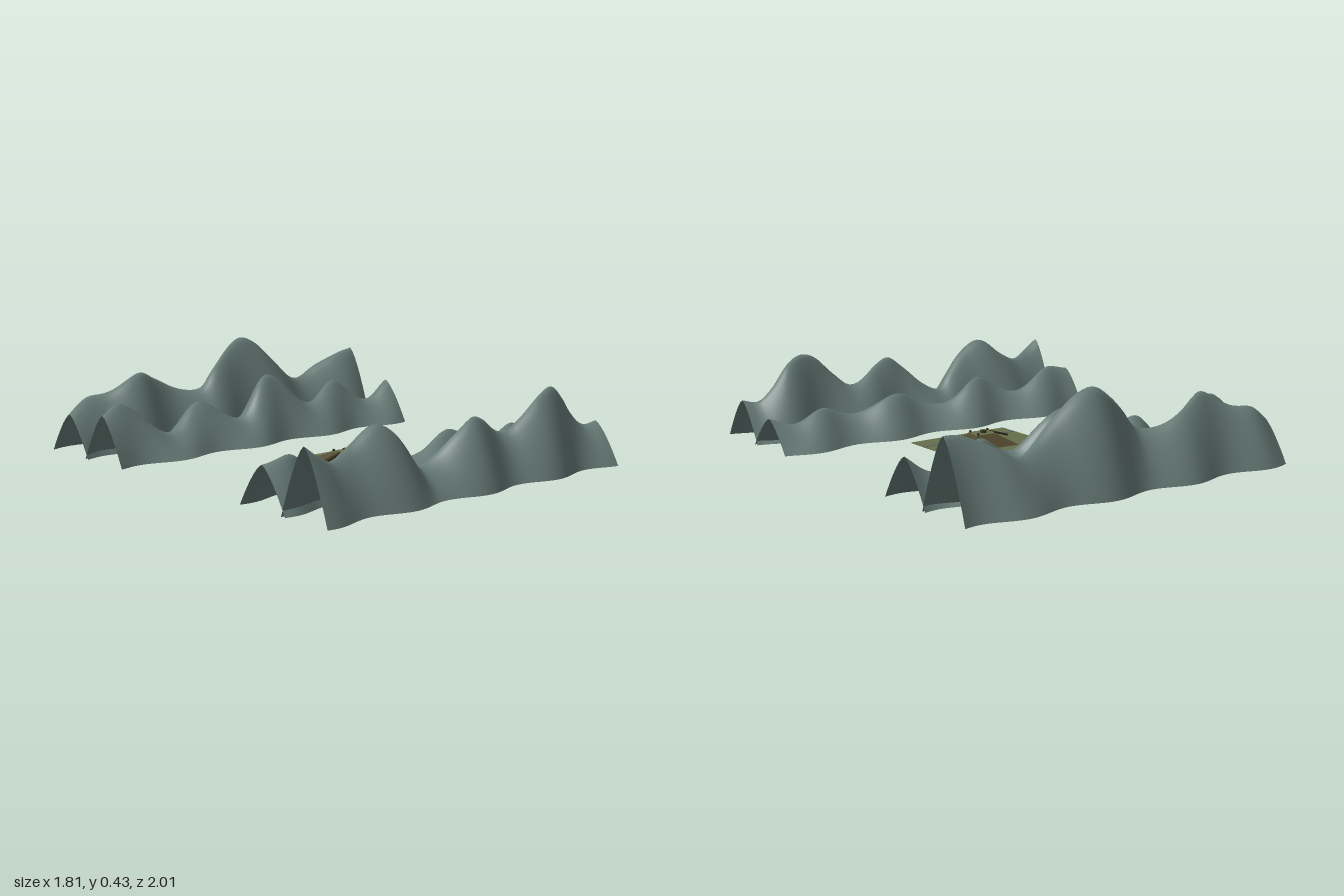
import * as THREE from 'three';

const mat = (name, color, side = THREE.FrontSide) => {
  const m = new THREE.MeshStandardMaterial({ color, side });
  m.name = name;
  return m;
};

// Crest heights as [distance along ridge, height] pairs
const RIDGES = [
  { name: 'backOuterRidge', v: [-0.937, -0.655], wave: [-0.816, 0.418],
    crest: [[-0.82, 0.18], [-0.72, 0.24], [-0.62, 0.255], [-0.46, 0.33], [-0.36, 0.29], [-0.2, 0.22], [-0.11, 0.23],
      [-0.05, 0.3], [0.05, 0.38], [0.15, 0.43], [0.22, 0.4], [0.3, 0.32], [0.42, 0.22], [0.5, 0.2], [0.62, 0.26],
      [0.74, 0.31], [0.82, 0.32]] },
  { name: 'backInnerRidge', v: [-0.675, -0.393], wave: [-0.816, 0.418],
    crest: [[-0.82, 0.21], [-0.72, 0.25], [-0.49, 0.1], [-0.3, 0.21], [-0.09, 0.12], [0.07, 0.285], [0.15, 0.27],
      [0.3, 0.14], [0.5, 0.22], [0.68, 0.11], [0.82, 0.19]] },
  { name: 'frontInnerRidge', v: [0.402, 0.675], wave: [-0.665, 0.407],
    crest: [[-0.82, 0.18], [-0.68, 0.2], [-0.48, 0.11], [-0.27, 0.2], [-0.07, 0.1], [0.2, 0.18], [0.4, 0.11],
      [0.58, 0.16], [0.72, 0.11], [0.82, 0.14]] },
  { name: 'frontOuterRidge', v: [0.65, 0.915], wave: [-0.675, 0.407],
    crest: [[-0.82, 0.29], [-0.75, 0.24], [-0.67, 0.21], [-0.57, 0.25], [-0.46, 0.325], [-0.37, 0.28], [-0.27, 0.18],
      [-0.21, 0.12], [-0.12, 0.15], [-0.02, 0.24], [0.05, 0.29], [0.13, 0.27], [0.29, 0.195], [0.36, 0.25],
      [0.45, 0.335], [0.55, 0.355], [0.63, 0.31], [0.68, 0.24], [0.75, 0.17], [0.82, 0.18]] },
];

// Open arched sheet whose height follows the crest and whose plan snakes
function ridgeGeometry({ v, wave, crest }) {
  const heights = new THREE.CubicInterpolant(crest.map((p) => p[0]), crest.map((p) => p[1]), 1);
  const geo = new THREE.PlaneGeometry(1.64, 2, 80, 16).rotateX(-Math.PI / 2);
  const pos = geo.attributes.position;
  const mid = (v[0] + v[1]) / 2, half = (v[1] - v[0]) / 2;
  for (let i = 0; i < pos.count; i++) {
    const u = THREE.MathUtils.clamp(pos.getX(i), -0.82, 0.82), s = pos.getZ(i);
    const h = heights.evaluate(u)[0];
    const sway = -0.023 * Math.sin((2 * Math.PI * (u - wave[0])) / wave[1]);
    pos.setXYZ(i, u, h * Math.max(0, 1 - Math.abs(s) ** 1.4), mid + half * s + sway);
  }
  geo.computeVertexNormals();
  return geo;
}

// Flat-sided solid between a bottom and a top quad, corners [x, z] from back left clockwise
function frustum(bottom, top, y0, y1) {
  const p = [...bottom.map(([x, z]) => [x, y0, z]), ...top.map(([x, z]) => [x, y1, z])];
  const index = [4, 7, 6, 4, 6, 5, 0, 1, 2, 0, 2, 3];
  for (let i = 0; i < 4; i++) {
    const j = (i + 1) % 4;
    index.push(i, i + 4, j + 4, i, j + 4, j);
  }
  const geo = new THREE.BufferGeometry();
  geo.setAttribute('position', new THREE.Float32BufferAttribute(p.flat(), 3));
  geo.setIndex(index);
  const flat = geo.toNonIndexed();
  flat.computeVertexNormals();
  return flat;
}

export function createModel() {
  const rock = mat('mountain grey green', 0x667a76, THREE.DoubleSide);
  const grass = mat('valley grass', 0x666e4a);
  const earth = mat('mound earth', 0x4e452b);
  const timber = mat('dark timber', 0x3c3622);
  const water = mat('stream blue', 0x5d6f7a);

  const model = new THREE.Group();
  model.name = 'mountainValley';
  const add = (parent, name, geo, material, x = 0, y = 0, z = 0) => {
    const mesh = new THREE.Mesh(geo, material);
    mesh.name = name;
    mesh.position.set(x, y, z);
    parent.add(mesh);
    return mesh;
  };

  // Landscape, turned slightly about the vertical
  const land = new THREE.Group();
  land.name = 'landscape';
  land.rotation.y = 0.094;
  model.add(land);
  for (const r of RIDGES) add(land, r.name, ridgeGeometry(r), rock);
  add(land, 'valleyFloor', new THREE.BoxGeometry(0.5, 0.004, 0.382), grass, 0, 0.002, 0.112);
  const stream = add(land, 'stream', new THREE.BoxGeometry(0.49, 0.002, 0.016), water, 0, 0.0045, 0.212);
  stream.rotation.y = 0.02;

  // Earth mound with a flat top
  const fort = new THREE.Group();
  fort.name = 'hillFort';
  model.add(fort);
  const rim = [[-0.042, 0.075], [0.06, 0.075], [0.055, 0.157], [-0.042, 0.157]];
  add(fort, 'mound', frustum([[-0.11, -0.002], [0.132, -0.008], [0.115, 0.206], [-0.078, 0.206]], rim, 0.003, 0.045), earth);
  add(fort, 'moundTop', frustum(rim, rim, 0.045, 0.049), grass);

  // Small keep and corner posts
  add(fort, 'keep', new THREE.BoxGeometry(0.022, 0.014, 0.022), timber, 0.004, 0.054, 0.116);
  add(fort, 'keepRoof', new THREE.BoxGeometry(0.01, 0.004, 0.01), grass, 0.004, 0.062, 0.116);
  for (const x of [-0.036, 0.05]) for (const z of [0.082, 0.15])
    add(fort, 'cornerPost', new THREE.BoxGeometry(0.008, 0.01, 0.008), timber, x, 0.052, z);

  // Sloping ramp on the side
  const ramp = add(fort, 'ramp', new THREE.BoxGeometry(0.1, 0.008, 0.018), timber, -0.083, 0.034, 0.134);
  ramp.rotation.y = 0.094;
  ramp.rotation.z = 0.3;
  return model;
}
